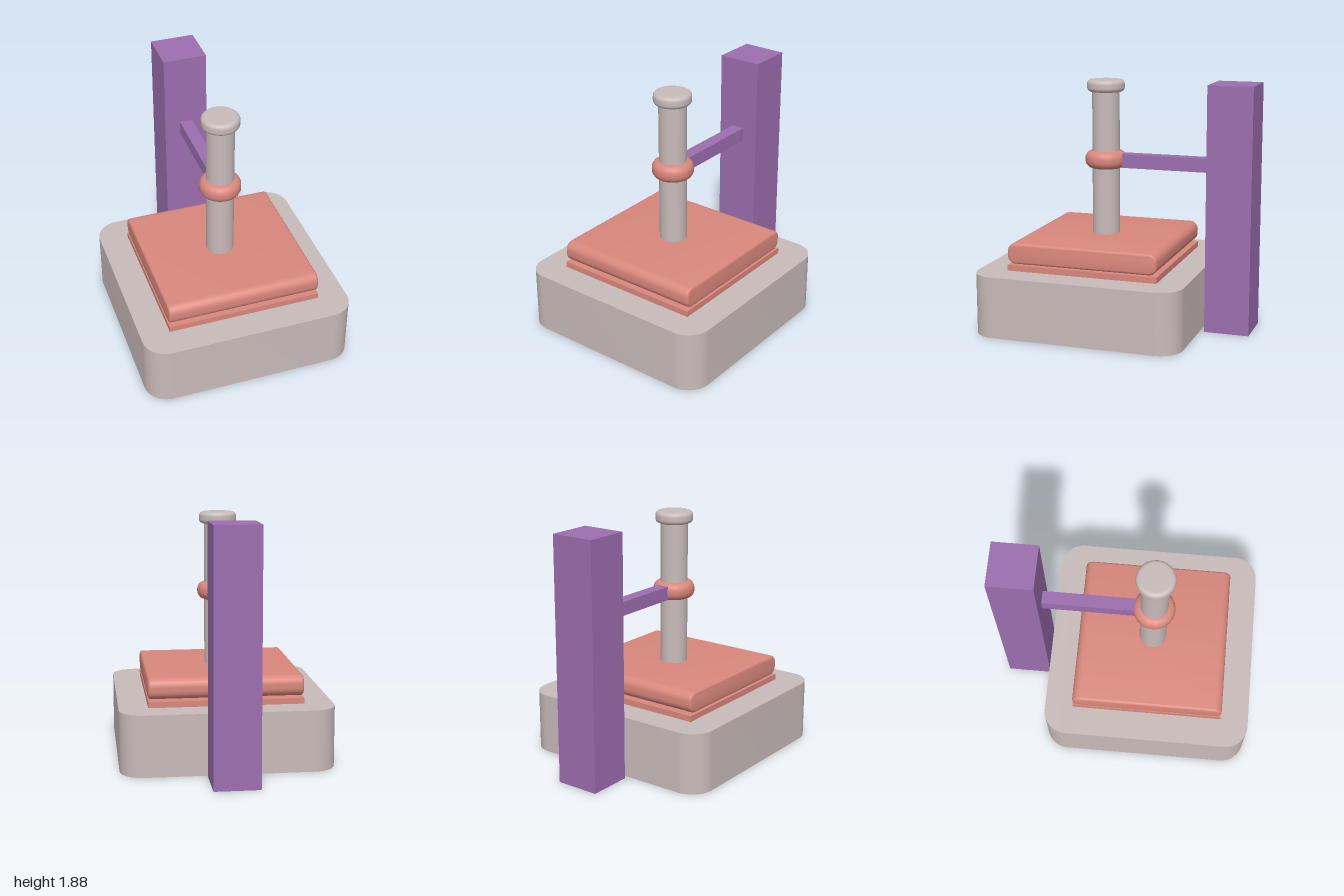
import * as THREE from 'three';
import { toCreasedNormals } from 'three/addons/utils/BufferGeometryUtils.js';

const grey = new THREE.MeshStandardMaterial({ name: 'warmGrey', color: 0xc8bbb9 });
const salmon = new THREE.MeshStandardMaterial({ name: 'salmon', color: 0xd9877c });
const purple = new THREE.MeshStandardMaterial({ name: 'purple', color: 0x9c6eaf });

const AXIS_Z = 0.19; // centre of the base, plates and column

function roundedRect(w, h, r) {
  const s = new THREE.Shape();
  const x = w / 2, y = h / 2;
  s.absarc(x - r, y - r, r, 0, Math.PI / 2);
  s.absarc(-x + r, y - r, r, Math.PI / 2, Math.PI);
  s.absarc(-x + r, -y + r, r, Math.PI, Math.PI * 1.5);
  s.absarc(x - r, -y + r, r, Math.PI * 1.5, Math.PI * 2);
  s.closePath();
  return s;
}

// Closed disc with rounded rim, from y0 to y1
function roundedDisc(radius, y0, y1, r, sides) {
  const pts = [new THREE.Vector2(0, y0)];
  for (let i = 0; i <= 6; i++) {
    const a = -Math.PI / 2 + (i / 6) * Math.PI / 2;
    pts.push(new THREE.Vector2(radius - r + r * Math.cos(a), y0 + r + r * Math.sin(a)));
  }
  for (let i = 0; i <= 6; i++) {
    const a = (i / 6) * Math.PI / 2;
    pts.push(new THREE.Vector2(radius - r + r * Math.cos(a), y1 - r + r * Math.sin(a)));
  }
  pts.push(new THREE.Vector2(0, y1));
  return new THREE.LatheGeometry(pts, sides);
}

export function createModel() {
  const model = new THREE.Group();
  model.name = 'press';

  function add(name, geometry, material, x, y, z) {
    const mesh = new THREE.Mesh(geometry, material);
    mesh.name = name;
    mesh.position.set(x, y, z);
    model.add(mesh);
  }
  function box(name, material, x0, x1, y0, y1, z0, z1) {
    add(name, new THREE.BoxGeometry(x1 - x0, y1 - y0, z1 - z0), material,
      (x0 + x1) / 2, (y0 + y1) / 2, (z0 + z1) / 2);
  }

  // Base block with rounded vertical corners
  const base = new THREE.ExtrudeGeometry(roundedRect(1.625, 1.62, 0.18),
    { depth: 0.47, bevelEnabled: false, curveSegments: 10 });
  base.rotateX(-Math.PI / 2);
  add('base', toCreasedNormals(base, 0.6), grey, 0, 0, AXIS_Z);

  // Lower plate
  box('lowerPlate', salmon, -0.59, 0.59, 0.46, 0.515, -0.4, 0.78);

  // Upper plate: rounded section run along x, with slightly eased ends
  const bevel = 0.02;
  const plate = new THREE.ExtrudeGeometry(
    roundedRect(1.18 - 2 * bevel, 0.16 - 2 * bevel, 0.045),
    { depth: 1.18 - 2 * bevel, bevelThickness: bevel, bevelSize: bevel, bevelSegments: 4, curveSegments: 8 });
  plate.translate(0, 0, -0.59 + bevel);
  plate.rotateY(Math.PI / 2);
  add('upperPlate', toCreasedNormals(plate, 0.7), salmon, 0, 0.605, AXIS_Z);

  // Column, cap and collar
  add('column', new THREE.CylinderGeometry(0.106, 0.106, 1.14, 24), grey, 0, 1.23, AXIS_Z);
  add('cap', roundedDisc(0.145, 1.79, 1.882, 0.032, 24), grey, 0, 0, AXIS_Z);
  add('collar', roundedDisc(0.16, 1.198, 1.335, 0.058, 18), salmon, 0, 0, AXIS_Z);

  // Arm and rear post
  box('arm', purple, -0.05, 0.05, 1.21, 1.315, -0.66, 0.045);
  box('post', purple, -0.172, 0.172, 0, 1.882, -1, -0.655);

  return model;
}
